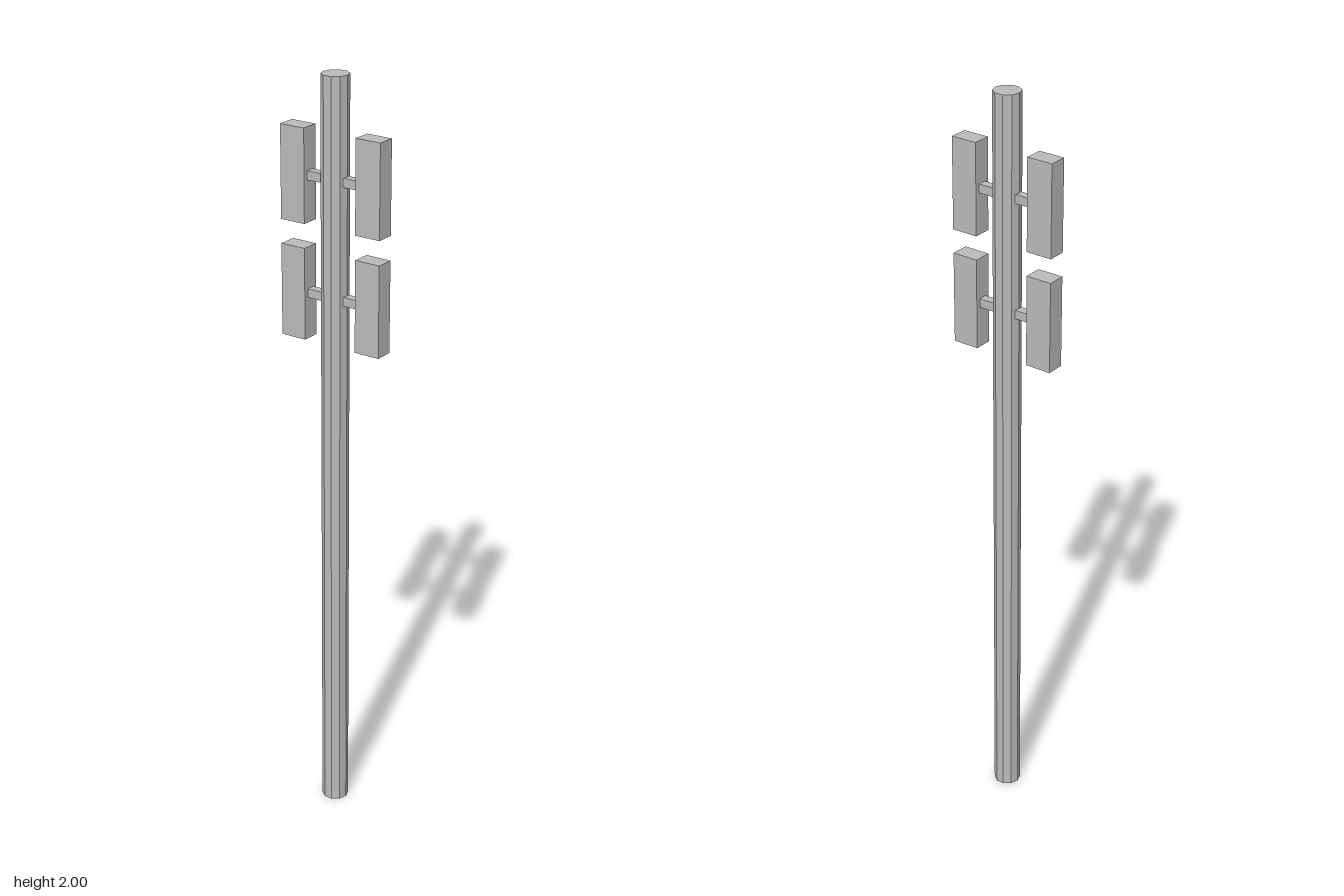
import * as THREE from 'three';

export function createModel() {
  const model = new THREE.Group();
  const metal = new THREE.MeshStandardMaterial({ color: 0xb9babc, flatShading: true });
  metal.name = 'grey metal';

  function add(name, geometry, x, y) {
    const mesh = new THREE.Mesh(geometry, metal);
    mesh.name = name;
    mesh.position.set(x, y, 0);
    model.add(mesh);
  }

  // Ten-sided mast with corners on the x axis
  add('pole', new THREE.CylinderGeometry(0.035, 0.035, 2, 10, 1, false, Math.PI / 2), 0, 1);

  // Two tiers of antenna panels, each held by a short square arm
  const panel = new THREE.BoxGeometry(0.07, 0.238, 0.048);
  const arm = new THREE.BoxGeometry(0.05, 0.023, 0.023);
  for (const [tier, y] of [['upper', 1.743], ['lower', 1.443]]) {
    for (const [side, s] of [['Left', 1], ['Right', -1]]) {
      add(`${tier}${side}Panel`, panel, s * 0.11, y);
      add(`${tier}${side}Arm`, arm, s * 0.05, y);
    }
  }
  return model;
}
